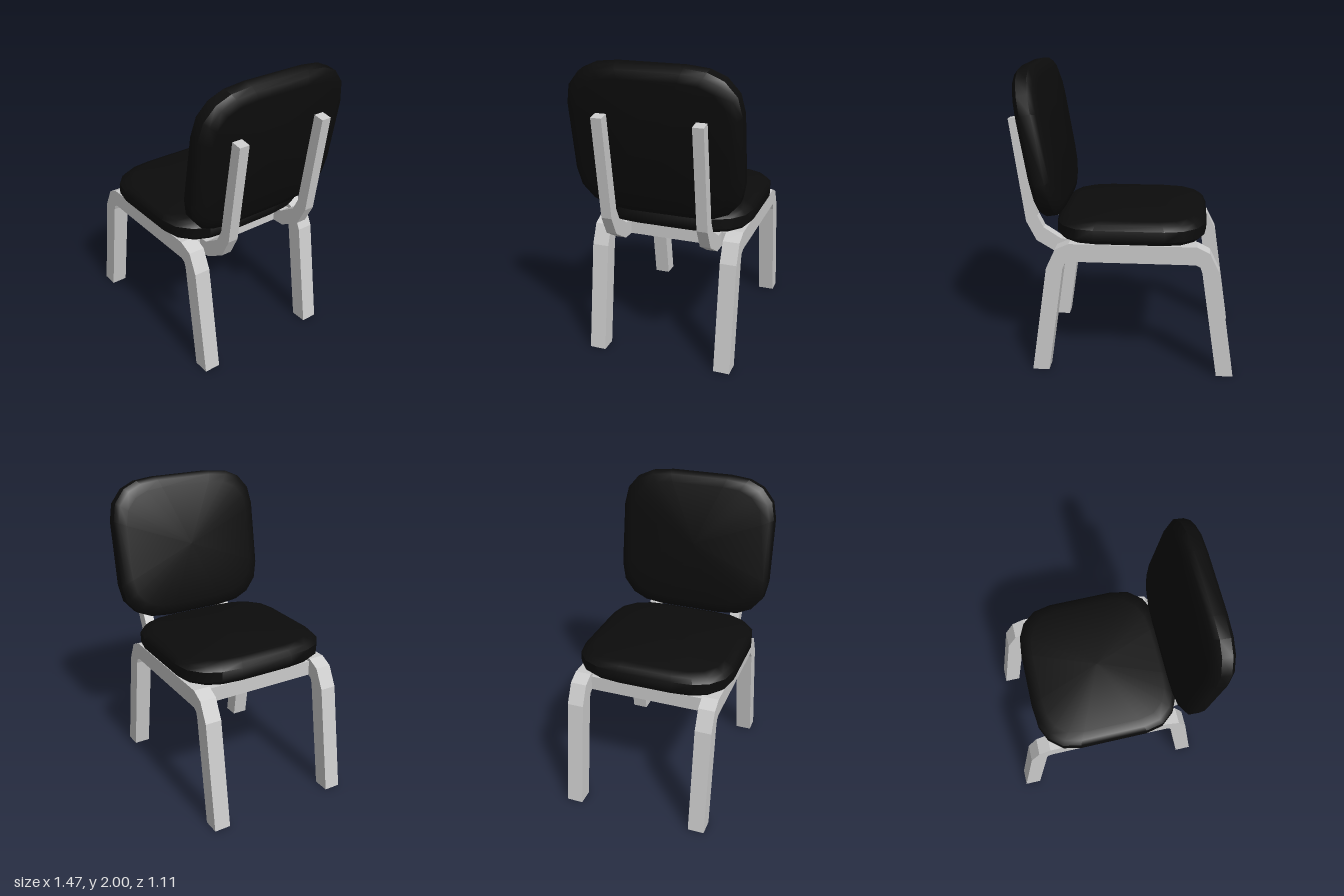
import * as THREE from 'three';
import { toCreasedNormals } from 'three/addons/utils/BufferGeometryUtils.js';

const metal = new THREE.MeshStandardMaterial({ color: 0xcccccc, flatShading: true });
const fabric = new THREE.MeshStandardMaterial({ color: 0x0c0c0c });

// Side profile in x-y, extruded between two z values
function bar(name, points, z0, z1) {
  const shape = new THREE.Shape(points.map(([x, y]) => new THREE.Vector2(x, y)));
  const geo = new THREE.ExtrudeGeometry(shape, { depth: z1 - z0, bevelEnabled: false });
  geo.translate(0, 0, z0);
  const mesh = new THREE.Mesh(geo, metal);
  mesh.name = name;
  return mesh;
}

// Padded cushion: rounded outline in x-z, stacked in inset layers along y
function cushion(name, length, width, thick) {
  const a = length / 2, b = width / 2;
  const corner = [[a, b - 0.34], [a - 0.015, b - 0.2], [a - 0.06, b - 0.1], [a - 0.15, b - 0.025], [a - 0.27, b]];
  const flipped = [...corner].reverse();
  const outline = [
    ...corner,
    ...flipped.map(([x, z]) => [-x, z]),
    ...corner.map(([x, z]) => [-x, -z]),
    ...flipped.map(([x, z]) => [x, -z]),
  ];
  const layers = [[-0.5, 0.075], [-0.4, 0.025], [-0.22, 0], [0.22, 0], [0.4, 0.025], [0.5, 0.075]];
  const n = outline.length, pos = [], index = [];
  for (const [h, inset] of layers) {
    for (const [x, z] of outline) pos.push(x * (1 - inset / a), h * thick, z * (1 - inset / b));
  }
  const bottom = layers.length * n, top = bottom + 1, last = (layers.length - 1) * n;
  pos.push(0, -thick / 2, 0, 0, thick / 2, 0);
  for (let j = 0; j < n; j++) {
    const k = (j + 1) % n;
    for (let i = 0; i < last; i += n) {
      index.push(i + j, i + n + j, i + k, i + k, i + n + j, i + n + k);
    }
    index.push(bottom, j, k, top, last + k, last + j);
  }
  const geo = new THREE.BufferGeometry();
  geo.setAttribute('position', new THREE.Float32BufferAttribute(pos, 3));
  geo.setIndex(index);
  const mesh = new THREE.Mesh(toCreasedNormals(geo, 0.75), fabric);
  mesh.name = name;
  return mesh;
}

export function createModel() {
  const chair = new THREE.Group();
  chair.name = 'chair';

  // Bent side frames: two splayed legs and the top bar in one piece
  const legProfile = [
    [-0.735, 0], [-0.625, 0], [-0.515, 0.73], [-0.502, 0.765], [-0.475, 0.78],
    [0.34, 0.78], [0.368, 0.765], [0.383, 0.73], [0.49, 0], [0.6, 0],
    [0.49, 0.73], [0.43, 0.86], [0.34, 0.9], [-0.48, 0.9], [-0.56, 0.86], [-0.625, 0.73],
  ];
  chair.add(bar('leftSideFrame', legProfile, 0.38, 0.49));
  chair.add(bar('rightSideFrame', legProfile, -0.505, -0.395));

  // Wide flat rails joining the side frames under the seat
  for (const [name, x0, x1] of [['frontRail', -0.475, -0.27], ['rearRail', 0.14, 0.34]]) {
    chair.add(bar(name, [[x0, 0.78], [x1, 0.78], [x1, 0.88], [x0, 0.88]], -0.395, 0.38));
  }

  // Bent posts carrying the backrest
  const postProfile = [
    [0.34, 0.78], [0.43, 0.783], [0.575, 0.87], [0.64, 1.0], [0.73, 1.675], [0.66, 1.687],
    [0.565, 1.04], [0.525, 0.96], [0.41, 0.885], [0.34, 0.88],
  ];
  chair.add(bar('leftBackPost', postProfile, 0.275, 0.345));
  chair.add(bar('rightBackPost', postProfile, -0.36, -0.29));

  // Cushions
  const seat = cushion('seatCushion', 0.99, 1.055, 0.158);
  seat.position.set(-0.045, 0.966, 0);
  const back = cushion('backCushion', 0.985, 1.105, 0.158);
  back.position.set(0.543, 1.51, 0);
  back.rotation.z = THREE.MathUtils.degToRad(80.5);
  chair.add(seat, back);

  return chair;
}
